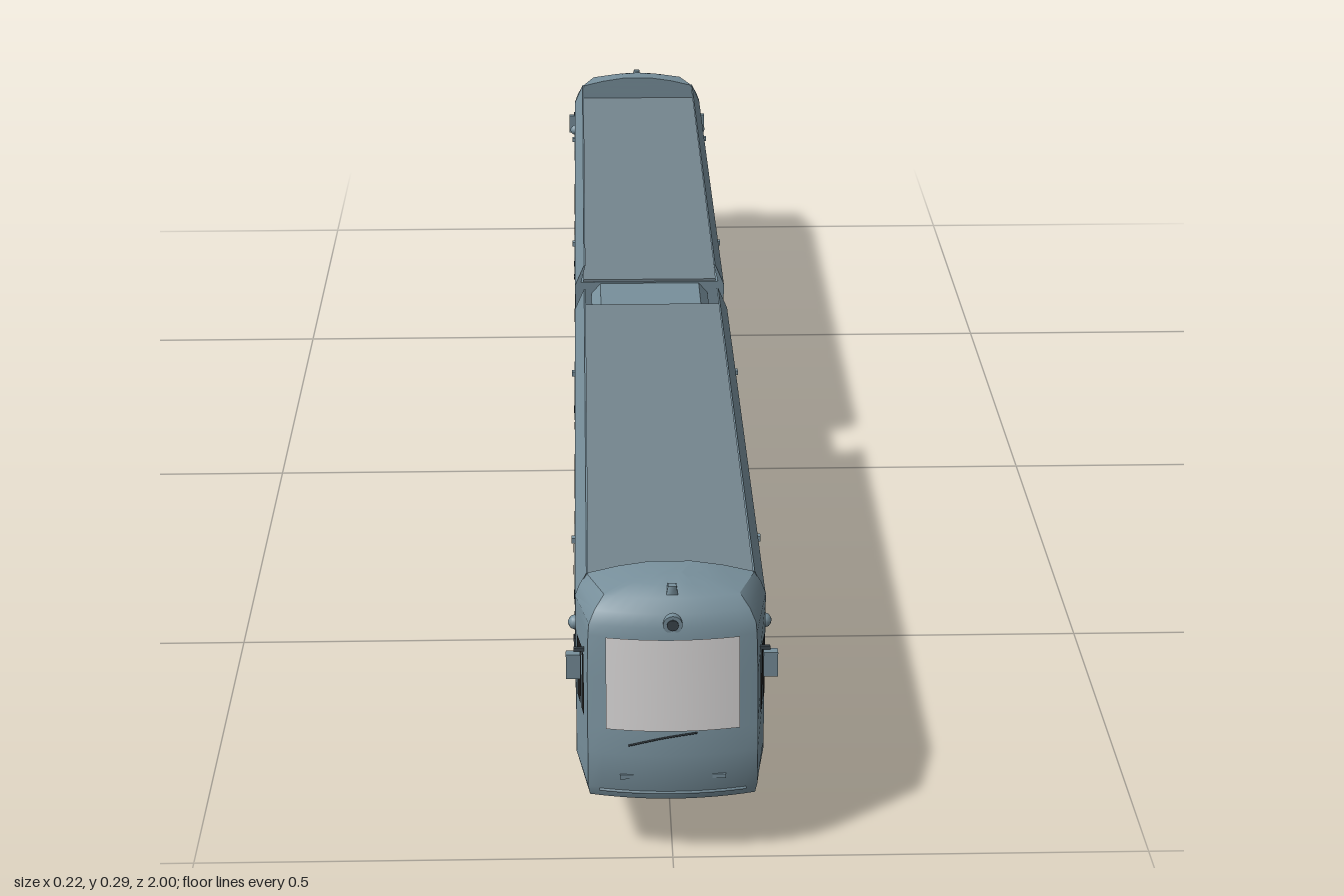
import * as THREE from 'three';
import { toCreasedNormals } from 'three/addons/utils/BufferGeometryUtils.js';

const paint = (name, color, side = THREE.FrontSide) => {
  const m = new THREE.MeshStandardMaterial({ color, side });
  m.name = name;
  return m;
};
const bodyBlue = paint('body blue grey', 0x78909c);
const roofGrey = paint('roof grey', 0x75868f);
const bogieBlue = paint('bogie slate', 0x4a5a72);
const darkGlass = paint('dark glass', 0x1b1b1b, THREE.DoubleSide);
const paleGlass = paint('windscreen grey', 0xd2d0d0, THREE.DoubleSide);
const lampWhite = paint('lamp white', 0xd8dde0);
const trimDark = paint('trim dark', 0x3c464d);

function add(parent, name, geo, mat, x = 0, y = 0, z = 0) {
  const m = new THREE.Mesh(geo, mat);
  m.name = name;
  m.position.set(x, y, z);
  parent.add(m);
  return m;
}
const box = (p, name, mat, w, h, d, x, y, z) => add(p, name, new THREE.BoxGeometry(w, h, d), mat, x, y, z);
const disc = (r, len, axis, n = 20) => {
  const g = new THREE.CylinderGeometry(r, r, len, n);
  return axis === 'x' ? g.rotateZ(Math.PI / 2) : axis === 'z' ? g.rotateX(Math.PI / 2) : g;
};

// Cab levels: height, half width at the rear, half width at the nose, nose z at the corners
const CAB_BACK = 0.893, BULGE = 0.012;
const levels = [
  [0.068, 0.1, 0.086, 0.984], [0.08, 0.1, 0.088, 0.988], [0.12, 0.1, 0.088, 0.987],
  [0.147, 0.1, 0.088, 0.982], [0.2, 0.1, 0.088, 0.972], [0.243, 0.1, 0.087, 0.964],
  [0.254, 0.1, 0.086, 0.961], [0.267, 0.095, 0.08, 0.955], [0.279, 0.088, 0.07, 0.943],
  [0.287, 0.055, 0.045, 0.928], [0.292, 0.022, 0.018, 0.912],
];
function levelAt(y) {
  let i = 0;
  while (i < levels.length - 2 && levels[i + 1][0] < y) i++;
  const a = levels[i], b = levels[i + 1], t = (y - a[0]) / (b[0] - a[0]);
  return a.map((v, k) => v + (b[k] - v) * t);
}
const noseZ = (x, y) => {
  const [, , w, f] = levelAt(y);
  return f + BULGE * (1 - (x / w) ** 2);
};
const cabSideX = (z, y) => {
  const [, w0, w1, f] = levelAt(y);
  return w0 + (w1 - w0) * Math.max(0, (z - CAB_BACK) / (f - CAB_BACK));
};

// Stack of horizontal slices, closed at bottom, top and back
function cabGeometry() {
  const pos = [], idx = [], N = 12, row = N + 3;
  for (const [y, w0, w1, f] of levels) {
    pos.push(w0, y, CAB_BACK);
    for (let i = 0; i <= N; i++) {
      const u = 1 - (2 * i) / N;
      pos.push(u * w1, y, f + BULGE * (1 - u * u));
    }
    pos.push(-w0, y, CAB_BACK);
  }
  const top = levels.length - 1;
  for (let j = 0; j < top; j++) {
    for (let i = 0; i < row - 1; i++) {
      const a = j * row + i, c = a + row;
      idx.push(a, c, a + 1, a + 1, c, c + 1);
    }
    const f = j * row, l = f + row - 1;
    idx.push(f, l, f + row, l, l + row, f + row);
  }
  const t = top * row;
  for (let i = 1; i < row - 1; i++) idx.push(0, i, i + 1, t, t + i + 1, t + i);
  const g = new THREE.BufferGeometry();
  g.setAttribute('position', new THREE.Float32BufferAttribute(pos, 3));
  g.setIndex(idx);
  return toCreasedNormals(g, 0.45);
}

function roundedRect(w, h, r) {
  const s = new THREE.Shape(), x = w / 2 - r, y = h / 2 - r;
  s.absarc(x, y, r, 0, Math.PI / 2);
  s.absarc(-x, y, r, Math.PI / 2, Math.PI);
  s.absarc(-x, -y, r, Math.PI, Math.PI * 1.5);
  s.absarc(x, -y, r, Math.PI * 1.5, Math.PI * 2);
  return new THREE.ShapeGeometry(s, 4);
}

// Side pane of the cab, outlined in (z, y) and laid on the tapering wall
function cabPane(points, side) {
  const g = new THREE.ShapeGeometry(new THREE.Shape(points.map(p => new THREE.Vector2(...p))));
  const p = g.attributes.position;
  for (let i = 0; i < p.count; i++) {
    const z = p.getX(i), y = p.getY(i);
    p.setXYZ(i, side * (cabSideX(z, y) + 0.0015), y, z);
  }
  if (side > 0) g.setIndex([...g.index.array].reverse());
  g.computeVertexNormals();
  return g;
}

function createCar() {
  const car = new THREE.Group();

  // Body shell with inward-leaning roof fairings
  const half = [[0.1, 0.07], [0.1, 0.252], [0.088, 0.28], [0.086, 0.28], [0.092, 0.256]];
  const outline = [...half, ...half.map(([x, y]) => [-x, y]).reverse()];
  const shell = new THREE.ExtrudeGeometry(new THREE.Shape(outline.map(p => new THREE.Vector2(...p))),
    { depth: 0.85, bevelEnabled: false });
  add(car, 'bodyShell', shell, bodyBlue, 0, 0, 0.045);
  box(car, 'roofPanel', roofGrey, 0.178, 0.004, 0.846, 0, 0.257, 0.47);

  // Cab with windscreen and nose details
  add(car, 'cab', cabGeometry(), bodyBlue);
  const screen = new THREE.PlaneGeometry(0.138, 0.096, 12, 6).translate(0, 0.195, 0);
  const p = screen.attributes.position;
  for (let i = 0; i < p.count; i++) p.setZ(i, noseZ(p.getX(i), p.getY(i)) + 0.002);
  screen.computeVertexNormals();
  add(car, 'windscreen', screen, paleGlass);
  add(car, 'topLampRing', disc(0.01, 0.016, 'z'), bodyBlue, 0, 0.258, 0.966);
  add(car, 'topLamp', disc(0.006, 0.002, 'z'), trimDark, 0, 0.258, 0.9745);
  const horn = new THREE.CylinderGeometry(0.006, 0.011, 0.018, 4).rotateY(Math.PI / 4);
  add(car, 'roofAerial', horn, bodyBlue, 0, 0.281, 0.945);
  const wiper = [[-0.046, 0.131], [-0.01, 0.14], [0.025, 0.145]]
    .map(([x, y]) => new THREE.Vector3(x, y, noseZ(x, y) + 0.002));
  add(car, 'wiper', new THREE.TubeGeometry(new THREE.CatmullRomCurve3(wiper), 8, 0.001, 5), trimDark);
  const bumper = Array.from({ length: 9 }, (_, i) => {
    const x = -0.076 + i * 0.019;
    return new THREE.Vector3(x, 0.077, noseZ(x, 0.077));
  });
  add(car, 'bumperStrip', new THREE.TubeGeometry(new THREE.CatmullRomCurve3(bumper), 24, 0.002, 6), bodyBlue);

  for (const s of [-1, 1]) {
    const onSide = (name, geo, mat, y, z, out) =>
      add(car, name, geo.rotateY(s * Math.PI / 2), mat, s * out, y, z);
    box(car, 'headlight', bodyBlue, 0.014, 0.005, 0.003, s * 0.048, 0.095, noseZ(0.048, 0.095));

    // Passenger windows
    for (const [z, w] of [[0.562, 0.116], [0.414, 0.112], [0.104, 0.048]])
      onSide('sideWindow', roundedRect(w, 0.068, 0.012), darkGlass, 0.185, z, 0.1012);

    // Double doors, each leaf with a tall window
    for (const z of [0.73, 0.243]) {
      for (const k of [-1, 1]) {
        box(car, 'doorLeaf', bodyBlue, 0.002, 0.155, 0.046, s * 0.1, 0.16, z + k * 0.0245);
        onSide('doorWindow', roundedRect(0.022, 0.07, 0.004), darkGlass, 0.185, z + k * 0.0245, 0.1018);
        box(car, 'doorButton', trimDark, 0.003, 0.005, 0.004, s * 0.1, 0.16, z + k * 0.075);
      }
      box(car, 'doorLamp', bodyBlue, 0.008, 0.006, 0.008, s * 0.1, 0.241, z);
    }
    box(car, 'doorRail', trimDark, 0.003, 0.05, 0.003, s * 0.101, 0.125, 0.782);
    box(car, 'sideMarker', lampWhite, 0.003, 0.006, 0.02, s * 0.1, 0.117, 0.39);

    // Cab side panes, mirror and camera
    add(car, 'cabWindow', cabPane([[0.914, 0.15], [0.94, 0.15], [0.94, 0.218], [0.914, 0.218]], s), darkGlass);
    add(car, 'cabQuarterWindow', cabPane([[0.945, 0.15], [0.967, 0.15], [0.953, 0.215], [0.945, 0.215]], s), darkGlass);
    box(car, 'mirrorArm', trimDark, 0.012, 0.004, 0.004, s * 0.096, 0.217, 0.945);
    box(car, 'mirror', bodyBlue, 0.015, 0.028, 0.01, s * 0.1025, 0.2, 0.947);
    add(car, 'sideCamera', new THREE.SphereGeometry(0.008, 12, 8), bodyBlue, s * 0.1, 0.212, 0.873);
  }
  return car;
}

function createBogie() {
  const b = new THREE.Group();
  const part = (name, ...a) => box(b, name, bogieBlue, ...a);
  part('bolster', 0.1, 0.016, 0.05, 0, 0.062, 0);
  part('centreBeam', 0.12, 0.018, 0.03, 0, 0.044, 0);
  for (const e of [-1, 1]) {
    // Wheelset
    add(b, 'axle', disc(0.006, 0.11, 'x', 10), bogieBlue, 0, 0.03, e * 0.077);
    part('gearbox', 0.03, 0.03, 0.036, e * 0.015, 0.034, e * 0.068);
    part('crossBeam', 0.11, 0.01, 0.012, 0, 0.042, e * 0.036);
    part('endBeam', 0.116, 0.012, 0.01, 0, 0.018, e * 0.114);
    for (const s of [-1, 1]) {
      add(b, 'wheel', disc(0.027, 0.01, 'x'), bogieBlue, s * 0.053, 0.03, e * 0.077);
      add(b, 'wheelFlange', disc(0.029, 0.003, 'x'), bogieBlue, s * 0.047, 0.03, e * 0.077);
      add(b, 'axleBox', disc(0.013, 0.01, 'x', 14), bogieBlue, s * 0.06, 0.03, e * 0.077);
      part('endBracket', 0.008, 0.022, 0.03, s * 0.055, 0.026, e * 0.105);
      add(b, 'spring', disc(0.009, 0.024, 'y', 12), bogieBlue, s * 0.052, 0.056, e * 0.018);
    }
  }
  for (const s of [-1, 1]) {
    part('sideFrame', 0.01, 0.014, 0.19, s * 0.058, 0.038, 0);
    part('sideBlock', 0.012, 0.022, 0.06, s * 0.06, 0.052, 0);
    part('trackBrake', 0.01, 0.01, 0.084, s * 0.055, 0.015, 0);
  }
  return b;
}

export function createModel() {
  const tram = new THREE.Group();
  tram.name = 'articulatedTram';

  ['frontCar', 'rearCar'].forEach((name, i) => {
    const car = createCar();
    car.name = name;
    car.rotation.y = i * Math.PI;
    tram.add(car);
  });

  // Gangway between the cars
  const section = new THREE.Shape([[-0.078, 0.08], [0.078, 0.08], [0.078, 0.24], [0.066, 0.254],
    [-0.066, 0.254], [-0.078, 0.24]].map(p => new THREE.Vector2(...p)));
  add(tram, 'gangway', new THREE.ExtrudeGeometry(section, { depth: 0.1, bevelEnabled: false }), bodyBlue, 0, 0, -0.05);

  for (const z of [-0.714, 0, 0.714]) {
    const bogie = createBogie();
    bogie.name = 'bogie';
    bogie.position.set(0, -0.001, z);
    tram.add(bogie);
  }
  return tram;
}
